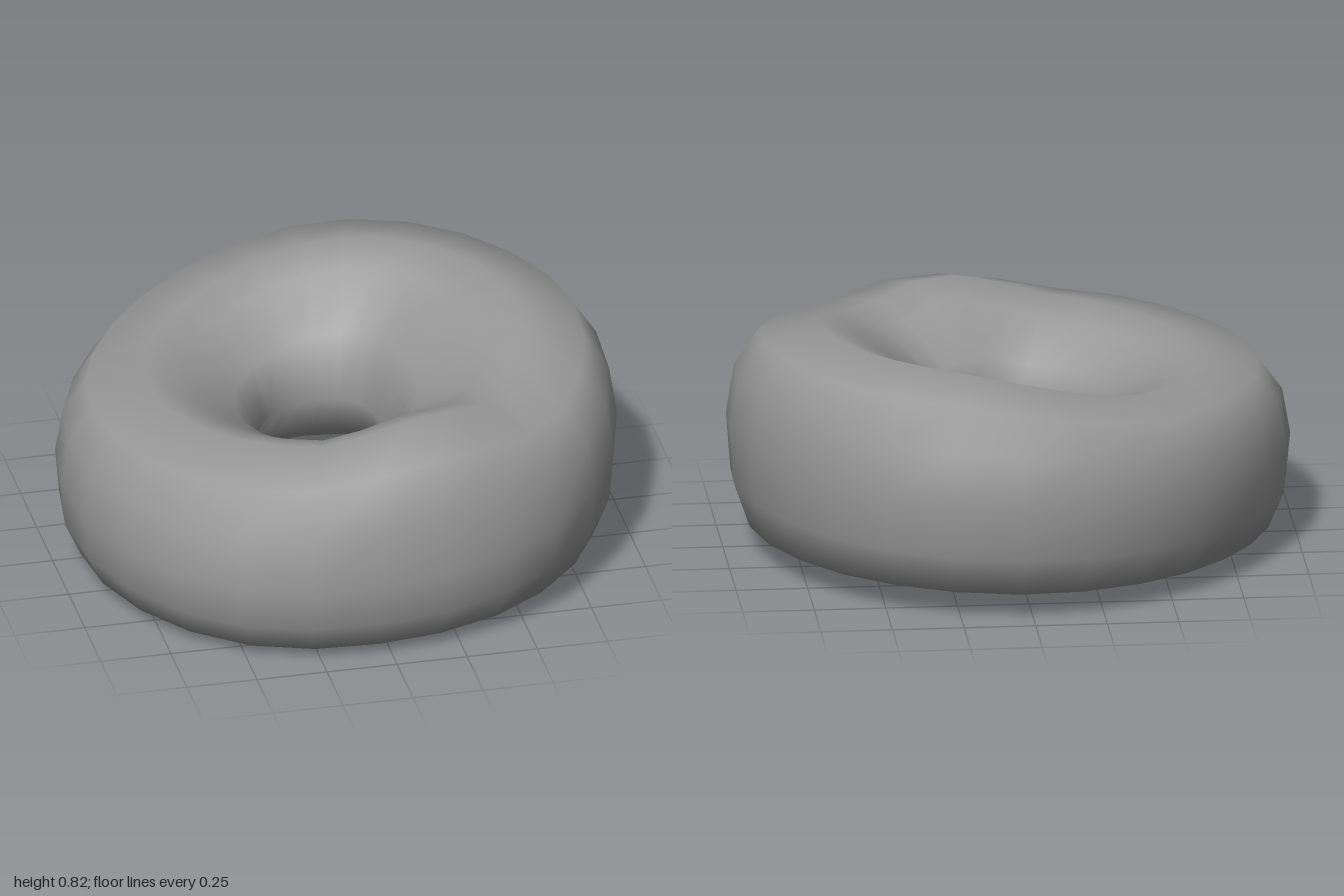
import * as THREE from 'three';

const SIDES = 26; // steps around the ring
const SECTION = 12; // steps around each cross-section

// Smooth periodic interpolation of evenly spaced values, t in turns
function around(values, t) {
  const n = values.length;
  const i = Math.floor(t * n);
  const f = t * n - i;
  const v = (k) => values[(i + k + n) % n];
  const a = v(-1), b = v(0), c = v(1), d = v(2);
  return b + 0.5 * f * (c - a + f * (2 * a - 5 * b + 4 * c - d + f * (3 * (b - c) + d - a)));
}

// Values run from +x through +z (front), -x and -z (back)
const OUTER = [0.985, 0.995, 1.0, 0.99, 1.035, 1.02, 0.985, 0.94, 0.965, 1.0, 0.995, 0.975];
const INNER = [0.19, 0.2, 0.22, 0.245, 0.25, 0.265, 0.26, 0.265, 0.275, 0.27, 0.265, 0.2];
const TOP = [
  0.81, 0.78, 0.745, 0.71, 0.75, 0.765, 0.735, 0.69, 0.68, 0.67, 0.665, 0.665,
  0.66, 0.66, 0.665, 0.67, 0.69, 0.73, 0.77, 0.8, 0.815, 0.82, 0.82, 0.82,
];
const BOTTOM = [0.035, 0.03, 0.02, 0.005, 0, 0.005, 0.015, 0.025, 0.035, 0.04, 0.045, 0.04];
const WIDEST = [0.45, 0.4, 0.34, 0.3, 0.29, 0.31, 0.34, 0.36, 0.39, 0.42, 0.43, 0.45];
const CREST = 0.66; // radius at the highest and lowest points
const THROAT = 0.37; // height of the narrowest point of the hole

function ringGeometry() {
  const positions = [];
  const index = [];
  for (let i = 0; i < SIDES; i++) {
    const t = (i - 0.3) / SIDES;
    const a = t * Math.PI * 2;
    const outer = around(OUTER, t), inner = around(INNER, t);
    const top = around(TOP, t), bottom = around(BOTTOM, t);
    const widest = around(WIDEST, t);
    for (let j = 0; j < SECTION; j++) {
      const p = (j / SECTION) * Math.PI * 2;
      const c = Math.cos(p), s = Math.sin(p);
      // full outside, fullest at the lower edge, and funnelled into the hole
      const r = c > 0
        ? CREST + (outer - CREST) * Math.pow(c, s < 0 ? 0.35 : 0.62)
        : CREST - (CREST - inner) * Math.pow(-c, 1.7);
      const mid = c > 0 ? widest : THROAT;
      const y = mid + s * (s > 0 ? top - mid : mid - bottom);
      positions.push(r * Math.cos(a), y, r * Math.sin(a));

      const i2 = (i + 1) % SIDES, j2 = (j + 1) % SECTION;
      const p00 = i * SECTION + j, p01 = i * SECTION + j2;
      const p10 = i2 * SECTION + j, p11 = i2 * SECTION + j2;
      index.push(p00, p01, p10, p01, p11, p10);
    }
  }
  const geometry = new THREE.BufferGeometry();
  geometry.setAttribute('position', new THREE.Float32BufferAttribute(positions, 3));
  geometry.setIndex(index);
  geometry.computeVertexNormals();
  return geometry;
}

export function createModel() {
  const group = new THREE.Group();
  group.name = 'doughnut';
  const ring = new THREE.Mesh(ringGeometry(), new THREE.MeshStandardMaterial({ color: 0x979797 }));
  ring.name = 'doughRing';
  group.add(ring);
  return group;
}
